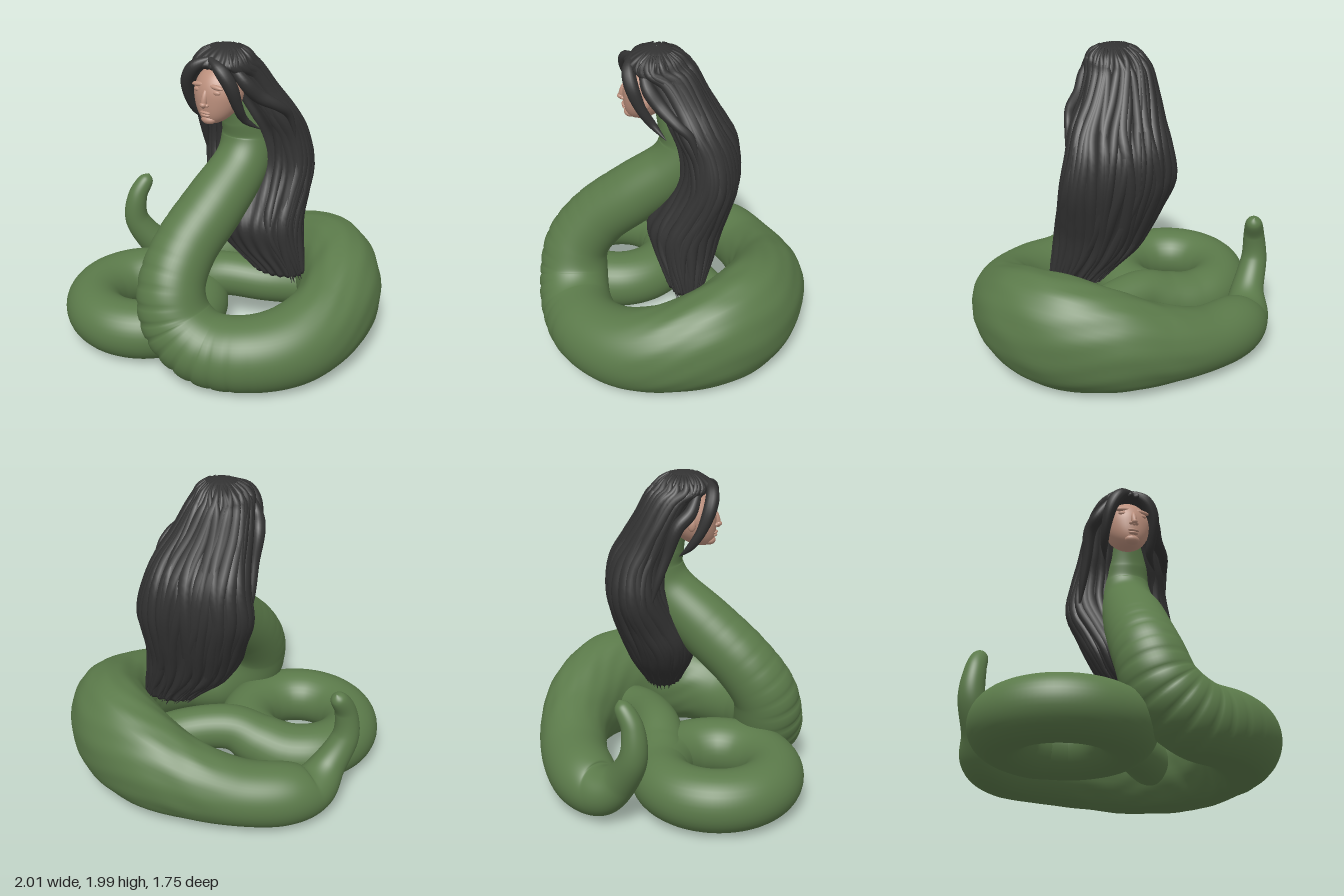
import * as THREE from 'three';

const V = (x, y, z) => new THREE.Vector3(x, y, z);
const mat = (name, color) => {
  const m = new THREE.MeshStandardMaterial({ color });
  m.name = name;
  return m;
};

// Smooth interpolation through rows of numbers; t is measured in rows
function sample(rows, t) {
  const last = rows.length - 1;
  const i = Math.min(Math.max(Math.floor(t), 0), last - 1), f = t - i;
  const a = rows[Math.max(i - 1, 0)], b = rows[i], c = rows[i + 1], d = rows[Math.min(i + 2, last)];
  return b.map((p, k) => p + 0.5 * f * (c[k] - a[k] +
    f * (2 * a[k] - 5 * p + 4 * c[k] - d[k] + f * (3 * (p - c[k]) + d[k] - a[k]))));
}

// Closed cross-sections joined into a smooth skin
function skin(nu, nv, point) {
  const pos = [], idx = [];
  for (let i = 0; i <= nu; i++)
    for (let j = 0; j < nv; j++) pos.push(...point(i, (j / nv) * Math.PI * 2).toArray());
  for (let i = 0; i < nu; i++)
    for (let j = 0; j < nv; j++) {
      const k = (j + 1) % nv, a = i * nv + j, b = i * nv + k, c = a + nv, d = b + nv;
      idx.push(a, b, c, b, d, c);
    }
  const g = new THREE.BufferGeometry();
  g.setAttribute('position', new THREE.Float32BufferAttribute(pos, 3));
  g.setIndex(idx);
  g.computeVertexNormals();
  return g;
}

// Tube along rows of [x, y, z, radius, vertical stretch]
function sweep(rows, steps, sides, bump = () => 1, floor = -1) {
  const n = (rows.length - 1) * steps, frames = [];
  let N = V(1, 0.13, 0.21);
  for (let i = 0; i <= n; i++) {
    const t = i / steps, s = sample(rows, t);
    const p = sample(rows, Math.max(t - 0.05, 0)), q = sample(rows, Math.min(t + 0.05, rows.length - 1));
    const T = V(q[0] - p[0], q[1] - p[1], q[2] - p[2]).normalize();
    N = N.clone().addScaledVector(T, -N.dot(T)).normalize();
    frames.push({ t, s, N, B: T.clone().cross(N) });
  }
  return skin(n, sides, (i, a) => {
    const { t, s, N, B } = frames[i];
    const dir = N.clone().multiplyScalar(Math.cos(a)).addScaledVector(B, Math.sin(a));
    const r = Math.max(s[3], 0.001) * bump(t, dir, a);
    const y = s[1] + dir.y * r * (s[4] ?? 1);
    return V(s[0] + dir.x * r, Math.max(y, floor), s[2] + dir.z * r);
  });
}

// Neck, great coil and raised tail tip
const BODY = [
  [0.05, 1.68, 0.0, 0.11, 1], [0.08, 1.53, -0.065, 0.15, 1], [0.09, 1.38, -0.09, 0.165, 1],
  [0.085, 1.21, -0.01, 0.175, 1], [0.02, 1.0, 0.22, 0.195, 1], [-0.05, 0.79, 0.45, 0.2, 1],
  [-0.06, 0.58, 0.6, 0.21, 1], [0.01, 0.37, 0.64, 0.225, 1], [0.2, 0.245, 0.635, 0.23, 1],
  [0.45, 0.24, 0.56, 0.235, 1], [0.65, 0.26, 0.37, 0.245, 1.05], [0.75, 0.31, 0.1, 0.245, 1.2],
  [0.72, 0.36, -0.2, 0.265, 1.32], [0.55, 0.365, -0.44, 0.28, 1.32], [0.28, 0.33, -0.6, 0.26, 1.25],
  [0, 0.28, -0.645, 0.225, 1.15], [-0.3, 0.23, -0.61, 0.21, 1], [-0.56, 0.21, -0.515, 0.2, 1],
  [-0.71, 0.21, -0.4, 0.16, 1], [-0.79, 0.32, -0.28, 0.11, 1], [-0.87, 0.5, -0.2, 0.085, 1],
  [-0.86, 0.68, -0.2, 0.068, 1], [-0.82, 0.8, -0.26, 0.05, 1], [-0.81, 0.84, -0.28, 0.001, 1],
];

// Hair outline by height: [y, x min, x max, z back, z front]
const HAIR = [
  [2.0, 0.02, 0.03, 0.07, 0.08], [1.988, -0.06, 0.12, -0.01, 0.16], [1.95, -0.13, 0.18, -0.08, 0.235],
  [1.895, -0.175, 0.21, -0.13, 0.275], [1.84, -0.195, 0.235, -0.17, 0.18], [1.7, -0.21, 0.3, -0.24, 0.1],
  [1.55, -0.22, 0.39, -0.33, 0.05], [1.4, -0.24, 0.44, -0.41, 0.0], [1.2, -0.265, 0.485, -0.42, 0.0],
  [1.0, -0.2, 0.48, -0.37, 0.1], [0.85, -0.15, 0.48, -0.32, 0.17], [0.7, -0.06, 0.5, -0.27, 0.14],
  [0.57, 0.09, 0.52, -0.21, 0.09], [0.46, 0.2, 0.53, -0.17, 0.05],
];
function hairPoint(t, a, inset) {
  const [y, x0, x1, z0, z1] = sample(HAIR, t);
  const rx = Math.max((x1 - x0) / 2 - inset, 0.004), rz = Math.max((z1 - z0) / 2 - inset, 0.004);
  return V((x0 + x1) / 2 + rx * Math.cos(a), y, (z0 + z1) / 2 + rz * Math.sin(a));
}

export function createModel() {
  const root = new THREE.Group();
  const green = mat('snake green', 0x5b7a4a);
  const skinTone = mat('skin', 0xbc907d);
  const black = mat('hair black', 0x323232);
  const add = (name, geo, material, parent = root) => {
    const m = new THREE.Mesh(geo, material);
    m.name = name;
    parent.add(m);
    return m;
  };

  // Belly grooves on the neck, fine wrinkles on the great coil
  const belly = V(-0.4, -0.3, 0.87).normalize();
  const fade = (t, a, b) => THREE.MathUtils.smoothstep(t, a, a + 1) * (1 - THREE.MathUtils.smoothstep(t, b - 1, b));
  add('body', sweep(BODY, 18, 60, (t, dir, a) => {
    const side = Math.max(0, dir.dot(belly));
    const groove = Math.pow(Math.abs(Math.sin(Math.PI * 3 * t)), 0.4) - 0.8;
    return 1 + 0.06 * fade(t, 3.5, 9.5) * side * side * groove
      + 0.012 * fade(t, 10, 16) * Math.sin(a * 11 + Math.sin(t * 2.3) * 1.5) * Math.sin(t * 3.1 + a * 3);
  }, 0.02), green);

  // Small side coil with an arm that arches back under the hair
  const coil = [[0.45, 0.26, -0.38, 0.15], [0.2, 0.31, -0.19, 0.145], [-0.08, 0.33, -0.09, 0.15], [-0.28, 0.25, -0.07, 0.175]];
  for (let k = 0; k <= 12; k++) {
    const a = -Math.PI / 2 - k * Math.PI / 6;
    coil.push([-0.46 + 0.355 * Math.cos(a), 0.2, 0.29 + 0.355 * Math.sin(a), 0.187]);
  }
  add('sideCoil', sweep(coil, 8, 36, undefined, 0.01), green);

  // Head: a sphere with a tapering, forward jaw
  const head = new THREE.Group();
  head.name = 'head';
  head.position.set(0.01, 1.71, 0.13);
  head.rotation.y = -0.1;
  root.add(head);
  const skull = new THREE.SphereGeometry(1, 48, 32);
  const p = skull.attributes.position;
  for (let i = 0; i < p.count; i++) {
    const x = p.getX(i), y = p.getY(i), z = p.getZ(i), low = Math.max(0, -y);
    p.setXYZ(i, x * 0.15 * (1 - 0.1 * low), y * 0.175, z * 0.15 + low * low * 0.06);
  }
  skull.computeVertexNormals();
  add('face', skull, skinTone, head);
  const blob = (name, x, y, z, sx, sy, sz, rx = 0, rz = 0) => {
    const m = add(name, new THREE.SphereGeometry(1, 20, 14), skinTone, head);
    m.position.set(x, y, z);
    m.scale.set(sx, sy, sz);
    m.rotation.set(rx, 0, rz);
  };
  blob('noseBridge', 0, -0.002, 0.146, 0.02, 0.06, 0.024, -0.28);
  blob('noseTip', 0, -0.035, 0.16, 0.021, 0.017, 0.024);
  blob('upperLip', 0, -0.088, 0.139, 0.038, 0.01, 0.019);
  blob('lowerLip', 0, -0.106, 0.135, 0.033, 0.012, 0.02);
  blob('chin', 0, -0.14, 0.105, 0.05, 0.03, 0.04);
  for (const s of [-1, 1]) {
    blob('nostril', s * 0.019, -0.04, 0.149, 0.013, 0.011, 0.015);
    blob('eyelid', s * 0.06, 0.04, 0.12, 0.036, 0.016, 0.016);
    blob('brow', s * 0.06, 0.072, 0.117, 0.055, 0.015, 0.018, 0, s * -0.1);
    blob('ear', s * 0.142, -0.02, 0.01, 0.018, 0.04, 0.025);
  }

  // Hair mass with shallow grooves, closed at the bottom
  const hair = new THREE.Group();
  hair.name = 'hair';
  root.add(hair);
  add('hairMass', skin(76, 140, (i, a) => {
    const t = Math.min(i / 6, 12.5);
    const q = hairPoint(t, a, 0.012 + 0.008 * Math.sin(a * 20 + Math.sin(t) * 1.2) * Math.min(t / 3, 1));
    return i === 76 ? V(0.33, q.y, -0.06) : q;
  }), black, hair);

  // Broad locks laid into the mass round the sides and back, with ragged tips
  let seed = 7;
  const rand = () => (seed = (seed * 16807) % 2147483647) / 2147483647;
  const count = 34;
  for (let k = 0; k <= count; k++) {
    const a0 = Math.PI / 2 + 0.75 + (k / count) * (Math.PI * 2 - 1.5);
    const end = 12.3 + rand() * 0.7, wave = rand() * 6, r0 = 0.03 + rand() * 0.02, rows = [];
    for (let j = 0; j <= 12; j++) {
      const f = j / 12, t = 1.2 + (end - 1.2) * f;
      const r = r0 * Math.min(1, 0.1 + f * 3) * Math.min(1, (1 - f) * 4);
      const q = hairPoint(t, a0 + 0.12 * Math.sin(t * 0.7 + wave), 0.004 + r * 0.8);
      rows.push([q.x, q.y, q.z, r]);
    }
    add('lock', sweep(rows, 4, 10), black, hair);
  }

  // Parted locks framing the face
  const framing = [
    [[0.0, 1.935, 0.22], [0.09, 1.885, 0.25], [0.15, 1.79, 0.235], [0.168, 1.66, 0.185], [0.18, 1.56, 0.12], [0.25, 1.49, 0.05]],
    [[0.0, 1.935, 0.22], [-0.09, 1.885, 0.25], [-0.145, 1.79, 0.235], [-0.16, 1.66, 0.185], [-0.145, 1.56, 0.12], [-0.11, 1.49, 0.05]],
    [[0.1, 1.92, 0.17], [0.19, 1.81, 0.15], [0.25, 1.71, 0.08], [0.34, 1.64, 0.0], [0.38, 1.56, -0.08], [0.41, 1.4, -0.12]],
    [[-0.1, 1.91, 0.17], [-0.18, 1.78, 0.12], [-0.215, 1.69, 0.04], [-0.21, 1.52, -0.02], [-0.215, 1.35, -0.08], [-0.22, 1.2, -0.12]],
  ];
  for (const path of framing)
    add('framingLock', sweep(path.map((q, i) => [...q, [0.02, 0.04, 0.042, 0.032, 0.024, 0.002][i]]), 8, 12), black, hair);

  return root;
}
